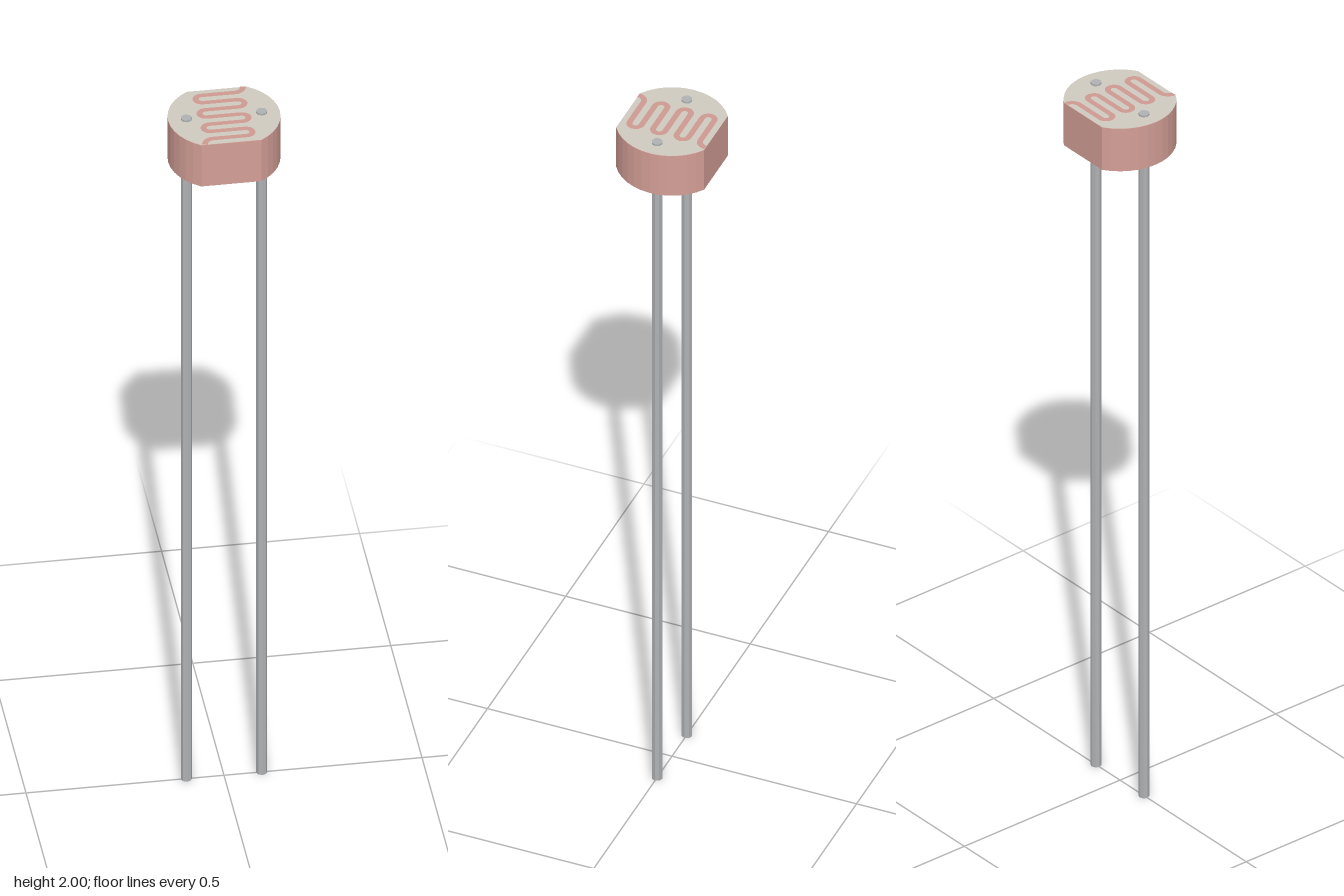
import * as THREE from 'three';

const RADIUS = 0.141, FLAT = 0.119;      // round body with flats at front and back
const BOTTOM = 1.87, TOP = 1.996;
const ROWS = 7, PITCH = 0.032, TURN_X = 0.043, TRACK_WIDTH = 0.015;

function named(name, geometry, color, flatShading = false) {
  const mesh = new THREE.Mesh(geometry, new THREE.MeshStandardMaterial({ color, flatShading }));
  mesh.name = name;
  return mesh;
}

// Circle cut by two parallel flats
function bodyOutline() {
  const a = Math.asin(FLAT / RADIUS);
  const points = [];
  for (const middle of [0, Math.PI]) {
    for (let i = 0; i <= 12; i++) {
      const t = middle - a + (2 * a * i) / 12;
      points.push(new THREE.Vector2(RADIUS * Math.cos(t), RADIUS * Math.sin(t)));
    }
  }
  return new THREE.Shape(points);
}

// Centre line of the serpentine track, running from flat to flat
function trackPath() {
  const path = new THREE.Path();
  const first = PITCH * (ROWS - 1) / 2, end = FLAT - first, q = Math.PI / 2;
  path.absarc(TURN_X, FLAT, end, 0, -q, true);
  for (let i = 0; i < ROWS - 1; i++) {
    const y = first - PITCH * (i + 0.5);
    if (i % 2 === 0) path.absarc(-TURN_X, y, PITCH / 2, q, 3 * q, false);
    else path.absarc(TURN_X, y, PITCH / 2, q, -q, true);
  }
  path.absarc(-TURN_X, -FLAT, end, q, 2 * q, false);
  return path.getPoints(6);
}

// Flat ribbon of constant width along a list of points
function ribbon(points, width) {
  const left = [], right = [], last = points.length - 1;
  points.forEach((p, i) => {
    const t = i === 0 || i === last
      ? new THREE.Vector2(0, -1)
      : points[i + 1].clone().sub(p).normalize().add(p.clone().sub(points[i - 1]).normalize()).normalize();
    const n = new THREE.Vector2(-t.y, t.x).multiplyScalar(width / 2);
    left.push(p.clone().add(n));
    right.unshift(p.clone().sub(n));
  });
  return new THREE.ShapeGeometry(new THREE.Shape([...left, ...right]));
}

export function createModel() {
  const model = new THREE.Group();
  model.name = 'lightSensor';
  const outline = bodyOutline();

  // Body
  const body = new THREE.ExtrudeGeometry(outline, { depth: TOP - BOTTOM - 0.002, bevelEnabled: false });
  body.rotateX(-Math.PI / 2).translate(0, BOTTOM, 0);
  model.add(named('body', body, 0xd49f97, true));

  // Pale top face
  const face = new THREE.ShapeGeometry(outline).rotateX(-Math.PI / 2).translate(0, TOP - 0.001, 0);
  model.add(named('topFace', face, 0xd0cbc0));

  // Serpentine track
  const track = ribbon(trackPath(), TRACK_WIDTH).rotateX(-Math.PI / 2).translate(0, TOP, 0);
  model.add(named('track', track, 0xcf9a92));

  // Wire leads, passing through the body
  for (const side of [-1, 1]) {
    const lead = new THREE.CylinderGeometry(0.014, 0.014, 2, 8).translate(side * 0.095, 1, 0);
    model.add(named(side > 0 ? 'leftLead' : 'rightLead', lead, 0xb0b2b4, true));
  }
  return model;
}
